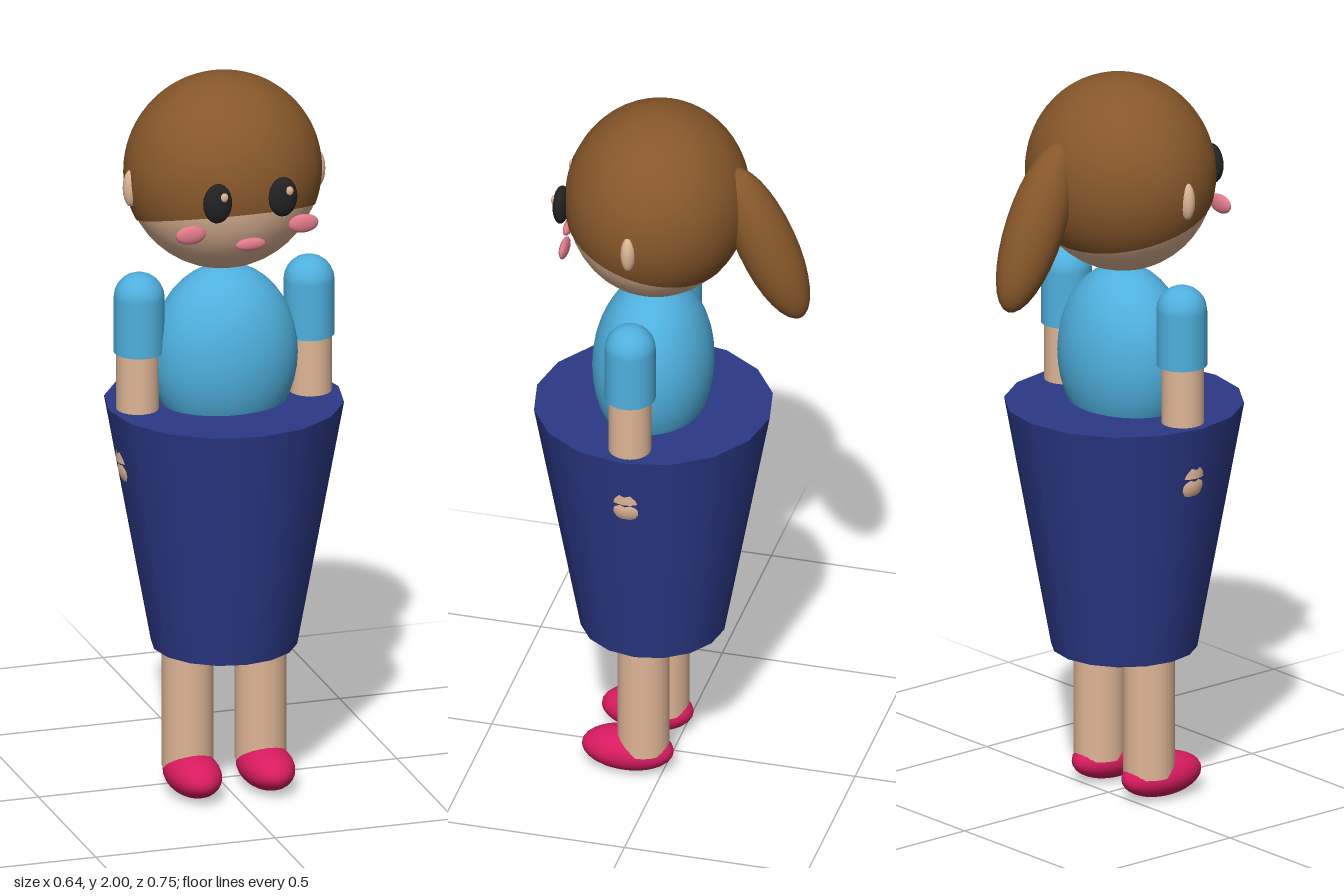
import * as THREE from 'three';

const mat = (name, color, side = THREE.FrontSide) => {
  const m = new THREE.MeshStandardMaterial({ color, side });
  m.name = name;
  return m;
};

export function createModel() {
  const model = new THREE.Group();
  model.name = 'girl';
  const skin = mat('skin', 0xdfb696);
  const hair = mat('hair brown', 0x87572a, THREE.DoubleSide);
  const shirt = mat('shirt blue', 0x4fb0de);
  const navy = mat('skirt navy', 0x2b3886);
  const black = mat('eye black', 0x222222);
  const blush = mat('blush pink', 0xe27a8a);
  const shoe = mat('shoe magenta', 0xd81b60);

  const add = (name, geometry, material, x, y, z) => {
    const mesh = new THREE.Mesh(geometry, material);
    mesh.name = name;
    mesh.position.set(x, y, z);
    model.add(mesh);
    return mesh;
  };
  const ball = (name, material, [x, y, z], [rx, ry, rz], seg = 32) =>
    add(name, new THREE.SphereGeometry(1, seg, seg / 2).scale(rx, ry, rz), material, x, y, z);
  const rod = (name, material, x, z, r, y0, y1) =>
    add(name, new THREE.CylinderGeometry(r, r, y1 - y0, 24), material, x, (y0 + y1) / 2, z);

  const Z = 0.055; // body axis

  // Head, with a hair cap whose hem slopes down towards the back
  ball('head', skin, [0, 1.732, 0.043], [0.262, 0.265, 0.242], 48);
  const cap = new THREE.SphereGeometry(1, 48, 28, 0, Math.PI * 2, 0, THREE.MathUtils.degToRad(115.5));
  cap.rotateX(THREE.MathUtils.degToRad(-15.5)).scale(0.266, 0.267, 0.246);
  add('hairCap', cap, hair, 0, 1.733, 0.043);
  ball('ponytail', hair, [0, 1.64, -0.255], [0.078, 0.237, 0.08]).rotation.x = THREE.MathUtils.degToRad(23.5);

  // Torso and skirt
  ball('torso', shirt, [0, 1.22, Z], [0.2, 0.25, 0.16], 40);
  add('skirt', new THREE.CylinderGeometry(0.32, 0.195, 0.685, 16), navy, 0, 0.7475, Z);

  // Face
  ball('mouth', blush, [0, 1.604, 0.288], [0.042, 0.018, 0.012], 20);

  for (const [side, s] of [['left', 1], ['right', -1]]) {
    ball(side + 'Eye', black, [s * 0.091, 1.727, 0.284], [0.04, 0.055, 0.022], 24);
    ball(side + 'EyeGlint', skin, [s * 0.091 + 0.013, 1.748, 0.302], [0.011, 0.013, 0.006], 12);
    ball(side + 'Cheek', blush, [s * 0.157, 1.636, 0.257], [0.042, 0.026, 0.012], 20);
    ball(side + 'Ear', skin, [s * 0.26, 1.712, Z], [0.022, 0.052, 0.02], 16);

    // Arm, with the hand just breaking through the skirt
    rod(side + 'Sleeve', shirt, s * 0.237, Z, 0.068, 1.25, 1.402);
    ball(side + 'Shoulder', shirt, [s * 0.237, 1.402, Z], [0.068, 0.068, 0.068], 24);
    rod(side + 'Arm', skin, s * 0.241, Z, 0.057, 0.945, 1.26);
    ball(side + 'Hand', skin, [s * 0.241, 0.925, Z], [0.052, 0.058, 0.058], 24);

    // Leg and shoe
    rod(side + 'Leg', skin, s * 0.102, Z, 0.069, 0.07, 0.5);
    ball(side + 'Shoe', shoe, [s * 0.102, 0.06, 0.098], [0.073, 0.058, 0.125]);
  }
  return model;
}
